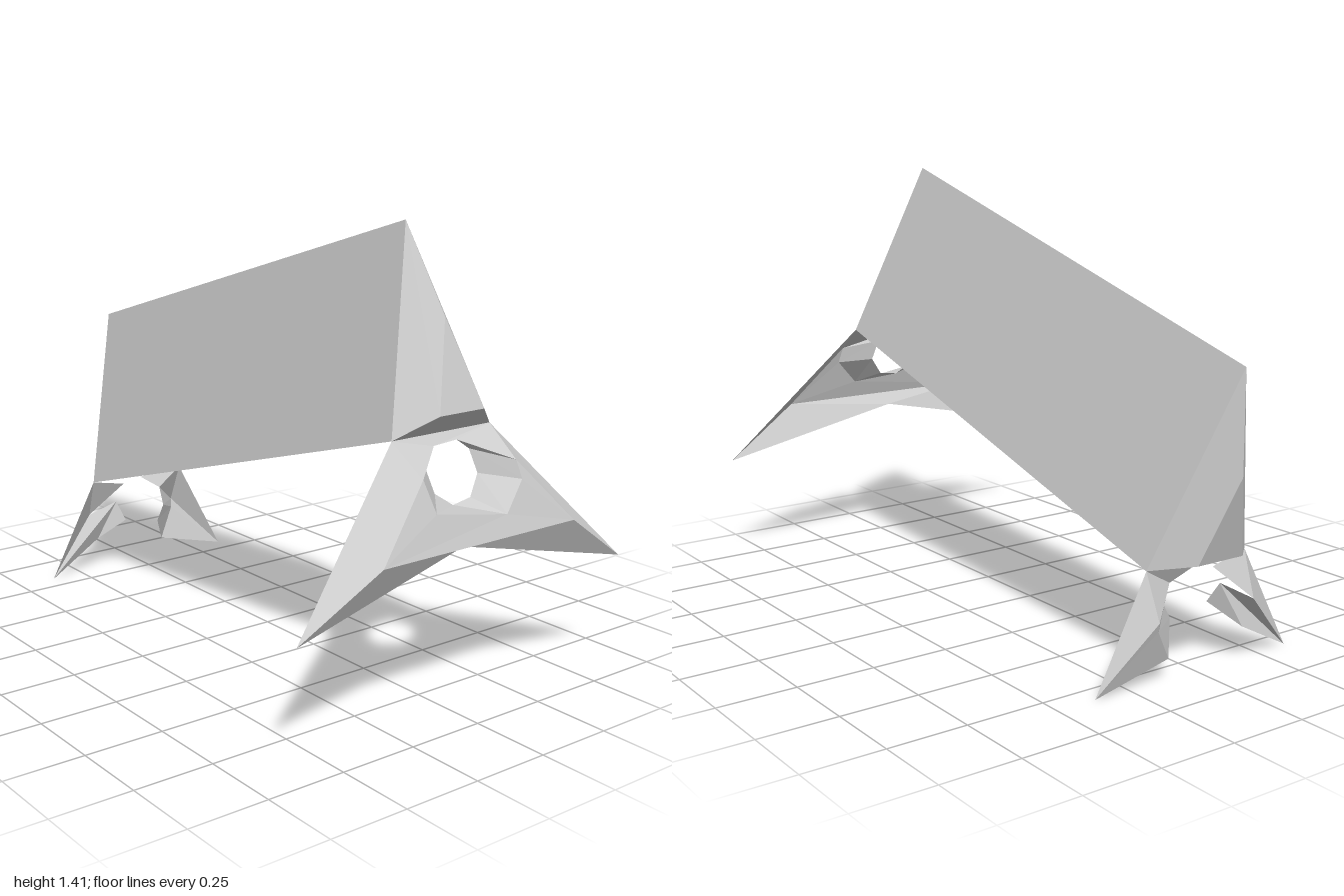
import * as THREE from 'three';

const shell = new THREE.MeshStandardMaterial({ color: 0xcccccc, flatShading: true, side: THREE.DoubleSide });
shell.name = 'light grey shell';

// One mesh from a list of flat polygons, each a loop of [x, y, z] corners
function panels(name, faces) {
  const pos = [];
  for (const face of faces) {
    const loop = face.map(([x, y]) => new THREE.Vector2(x, y));
    for (const tri of THREE.ShapeUtils.triangulateShape(loop, [])) {
      // keep the winding so that normals follow the loop direction
      for (const i of tri) pos.push(...face[i]);
    }
  }
  const geo = new THREE.BufferGeometry();
  geo.setAttribute('position', new THREE.Float32BufferAttribute(pos, 3));
  geo.computeVertexNormals();
  const mesh = new THREE.Mesh(geo, shell);
  mesh.name = name;
  return mesh;
}

const flip = ([x, y, z]) => [-x, y, z];

// Raised end cap: outer triangle stepping out to a smaller inset triangle
function endCap(name, ridge, eave, peak, corner) {
  const eaveR = flip(eave), cornerR = flip(corner);
  return panels(name, [
    [ridge, peak, corner, eave],
    [ridge, eaveR, cornerR, peak],
    [eave, corner, cornerR, eaveR],
    [peak, cornerR, corner],
  ]);
}

export function createModel() {
  const group = new THREE.Group();

  // Hollow ridged body, open underneath
  const ridgeF = [0, 1.41, 0.65], ridgeB = [0, 0.93, -1];
  const eaveF = [0.19, 0.825, 0.82], eaveB = [0.19, 0.34, -0.82];
  group.add(panels('leftRoof', [[ridgeF, eaveF, eaveB, ridgeB]]));
  group.add(panels('rightRoof', [[ridgeF, ridgeB, flip(eaveB), flip(eaveF)]]));
  group.add(endCap('frontCap', ridgeF, eaveF, [0, 1.155, 0.82], [0.085, 0.895, 0.9]));
  group.add(endCap('backCap', ridgeB, eaveB, [0, 0.62, -1], [0.085, 0.36, -0.92]));

  // Wide front stand, open at the back
  const tip = [0.63, 0.37, 0.96], top = [0.18, 0.74, 0.94], low = [0.37, 0.54, 1];
  const mid = [0, 0.51, 0.92];
  const side = [eaveF, top, low, tip], under = [tip, low, mid];
  group.add(panels('frontStandSides', [side, side.map(flip), under, under.map(flip)]));
  group.add(panels('frontStandUnderside', [[low, flip(low), mid]]));

  // Eight-sided hole with an uneven funnel around it
  const hole = [
    [-0.095, 0.735], [-0.05, 0.795], [0.04, 0.8], [0.08, 0.77],
    [0.095, 0.7], [0.05, 0.64], [-0.02, 0.63], [-0.08, 0.67],
  ].map(([x, y]) => [x, y, 0.83 + 0.32 * (0.83 - y)]);
  const a = flip(top), b = [-0.155, 0.645, 0.97], c = [0.11, 0.6, 0.98];
  const d = [0.19, 0.685, 0.957], e = top;
  group.add(panels('frontStandFace', [
    [a, b, c, d, e, low, flip(low)],
    [flip(eaveF), a, hole[1], hole[2], e, eaveF],
  ]));
  group.add(panels('holeFunnel', [
    [hole[1], a, hole[0]],
    [a, b, hole[7], hole[0]],
    [b, hole[6], hole[7]],
    [b, c, hole[5], hole[6]],
    [c, d, hole[4], hole[5]],
    [d, e, hole[3], hole[4]],
    [e, hole[2], hole[3]],
  ]));

  // Left back foot
  {
    const foot = [0.37, 0, -0.82], knee = [0.185, 0.2, -0.875], p = [0.02, 0.325, -0.83];
    const q = [0.085, 0.28, -0.8], r = [0.095, 0.21, -0.79], s = [0.055, 0.16, -0.77];
    const u = [0.11, 0.065, -0.83], v = [0.18, 0.17, -0.865];
    group.add(panels('leftBackFoot', [
      [eaveB, foot, knee], [eaveB, knee, q, p], [knee, foot, u, v],
      [q, knee, v, r], [r, v, u, s],
    ]));
  }

  // Right back foot, broken off differently
  {
    const eave = flip(eaveB), foot = [-0.37, 0, -0.82], knee = [-0.18, 0.2, -0.875];
    const p = [-0.055, 0.31, -0.83], q = [-0.095, 0.25, -0.82];
    const s = [-0.08, 0.185, -0.78], u = [-0.16, 0.11, -0.85];
    group.add(panels('rightBackFoot', [
      [eave, knee, foot], [eave, p, knee], [knee, q, u, foot], [q, s, u],
    ]));
  }

  return group;
}
